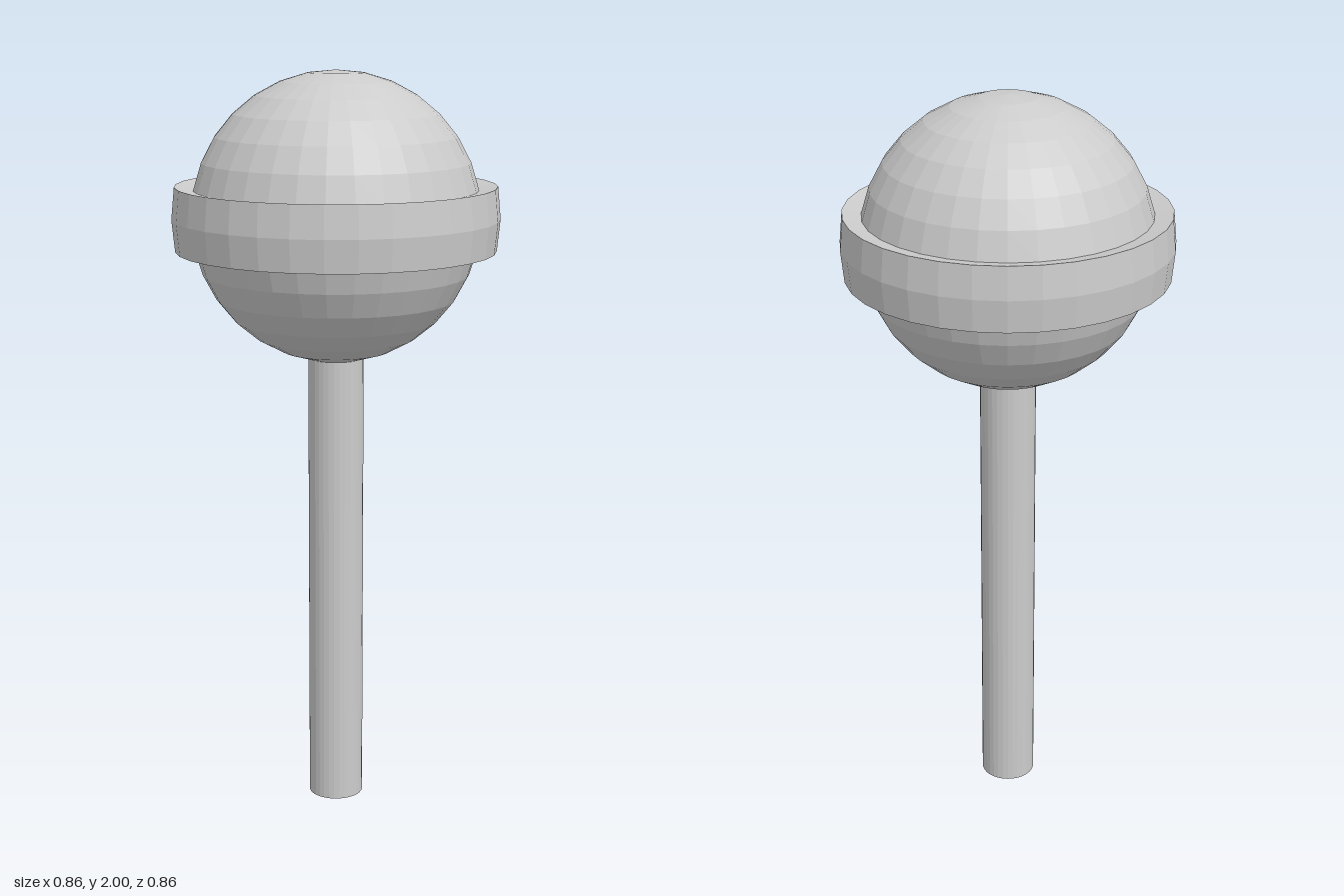
import * as THREE from 'three';

const SIDES = 32;
const RINGS = 16;
const RADIUS = 0.38;
const BAND_RADIUS = 0.43;
const CENTRE_Y = 1.62;
const STEP = Math.PI / RINGS;

export function createModel() {
  const group = new THREE.Group();
  const material = new THREE.MeshStandardMaterial({ color: 0xcccccc, flatShading: true });

  const add = (name, geometry, y) => {
    const mesh = new THREE.Mesh(geometry, material);
    mesh.name = name;
    mesh.position.y = y;
    group.add(mesh);
  };

  // Faceted candy ball
  add('candyBall', new THREE.SphereGeometry(RADIUS, SIDES, RINGS), CENTRE_Y);

  // Band raised radially from the two facet rows around the equator
  const at = (radius, row) =>
    new THREE.Vector2(radius * Math.cos(row * STEP), radius * Math.sin(row * STEP));
  const profile = [
    at(RADIUS, -1),
    at(BAND_RADIUS, -1),
    at(BAND_RADIUS, 0),
    at(BAND_RADIUS, 1),
    at(RADIUS, 1),
  ];
  add('equatorBand', new THREE.LatheGeometry(profile, SIDES), CENTRE_Y);

  // Stick, as wide as the lowest facet ring of the ball and joined to it
  const stickRadius = RADIUS * Math.sin(STEP);
  const stickHeight = CENTRE_Y - RADIUS * Math.cos(STEP);
  add('stick', new THREE.CylinderGeometry(stickRadius, stickRadius, stickHeight, SIDES), stickHeight / 2);

  return group;
}
